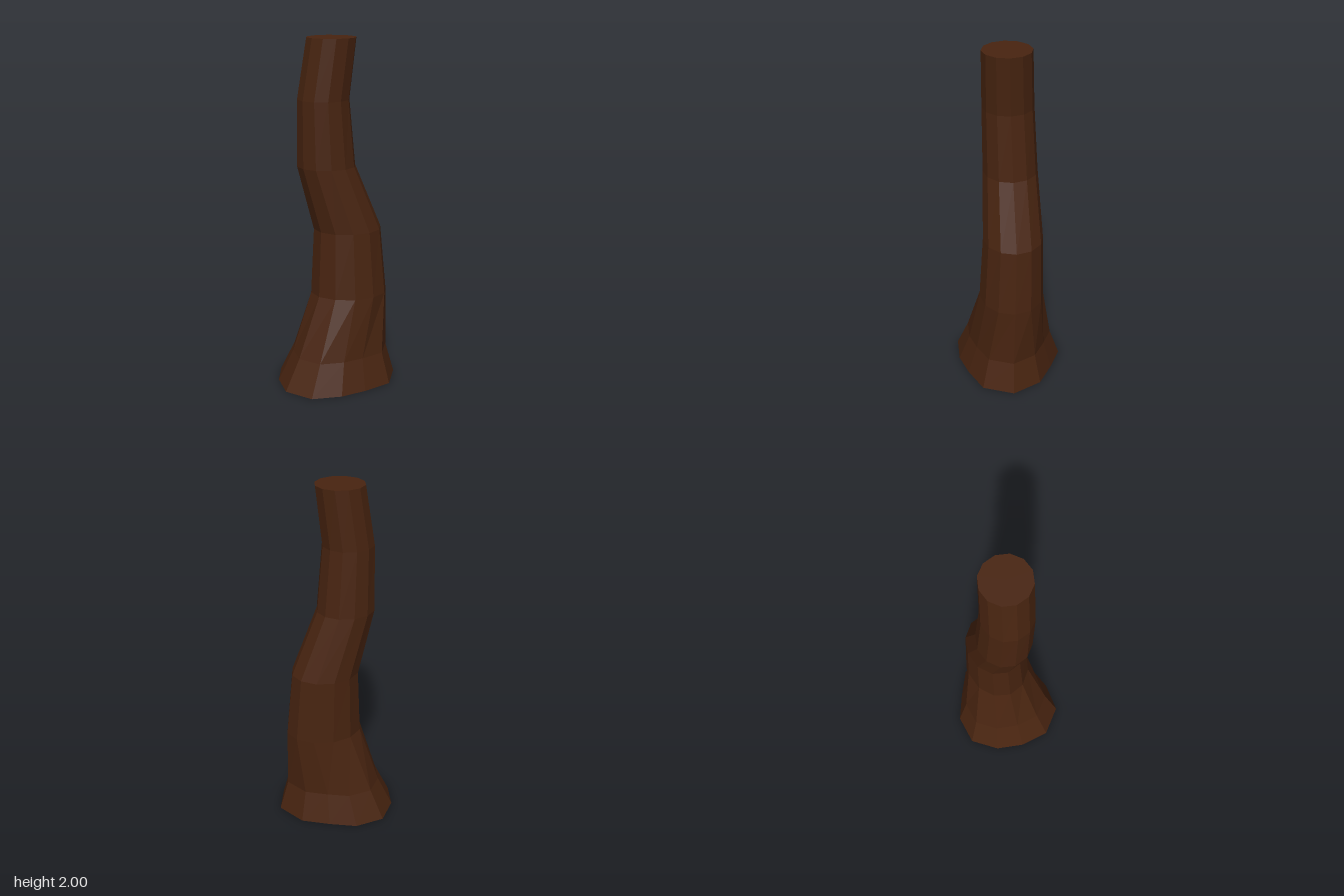
import * as THREE from 'three';

const SIDES = 12;

// Root flare: radius at each side, counter-clockwise from +x seen from above
const FLARE = [0.378, 0.335, 0.29, 0.32, 0.347, 0.326, 0.32, 0.35, 0.347, 0.30, 0.293, 0.355];

// Cross-sections from the ground up; the lowest two follow the root flare
const RINGS = [
  { y: 0, x: -0.03, z: 0.01, flare: 1 },
  { y: 0.18, x: -0.005, z: 0.007, flare: 0.8 },
  { y: 0.53, x: 0.073, z: -0.002, rx: 0.223, rz: 0.188 },
  { y: 0.91, x: 0.066, z: -0.012, rx: 0.196, rz: 0.173 },
  { y: 1.28, x: -0.057, z: -0.009, rx: 0.167, rz: 0.156 },
  { y: 1.66, x: -0.075, z: 0.001, rx: 0.148, rz: 0.146 },
  { y: 2, x: -0.03, z: 0.01, rx: 0.14, rz: 0.14 },
];

// Bend a capped cylinder so each of its rows becomes one cross-section
function trunkGeometry() {
  const rows = RINGS.length - 1;
  const geometry = new THREE.CylinderGeometry(1, 1, rows, SIDES, rows);
  const pos = geometry.attributes.position;
  for (let i = 0; i < pos.count; i++) {
    const ring = RINGS[Math.round(pos.getY(i) + rows / 2)];
    const px = pos.getX(i), pz = pos.getZ(i);
    const turn = Math.round(Math.atan2(-pz, px) / (2 * Math.PI / SIDES));
    const side = (turn + SIDES) % SIDES;
    const rx = ring.flare ? FLARE[side] * ring.flare : ring.rx;
    const rz = ring.flare ? FLARE[side] * ring.flare : ring.rz;
    pos.setXYZ(i, ring.x + px * rx, ring.y, ring.z + pz * rz);
  }
  const flat = geometry.toNonIndexed();
  flat.computeVertexNormals();
  return flat;
}

export function createModel() {
  const group = new THREE.Group();
  group.name = 'treeTrunk';

  const bark = new THREE.MeshStandardMaterial({ color: 0x482410 });
  bark.name = 'darkBrownBark';
  bark.flatShading = true;

  const trunk = new THREE.Mesh(trunkGeometry(), bark);
  trunk.name = 'trunk';
  group.add(trunk);
  return group;
}
